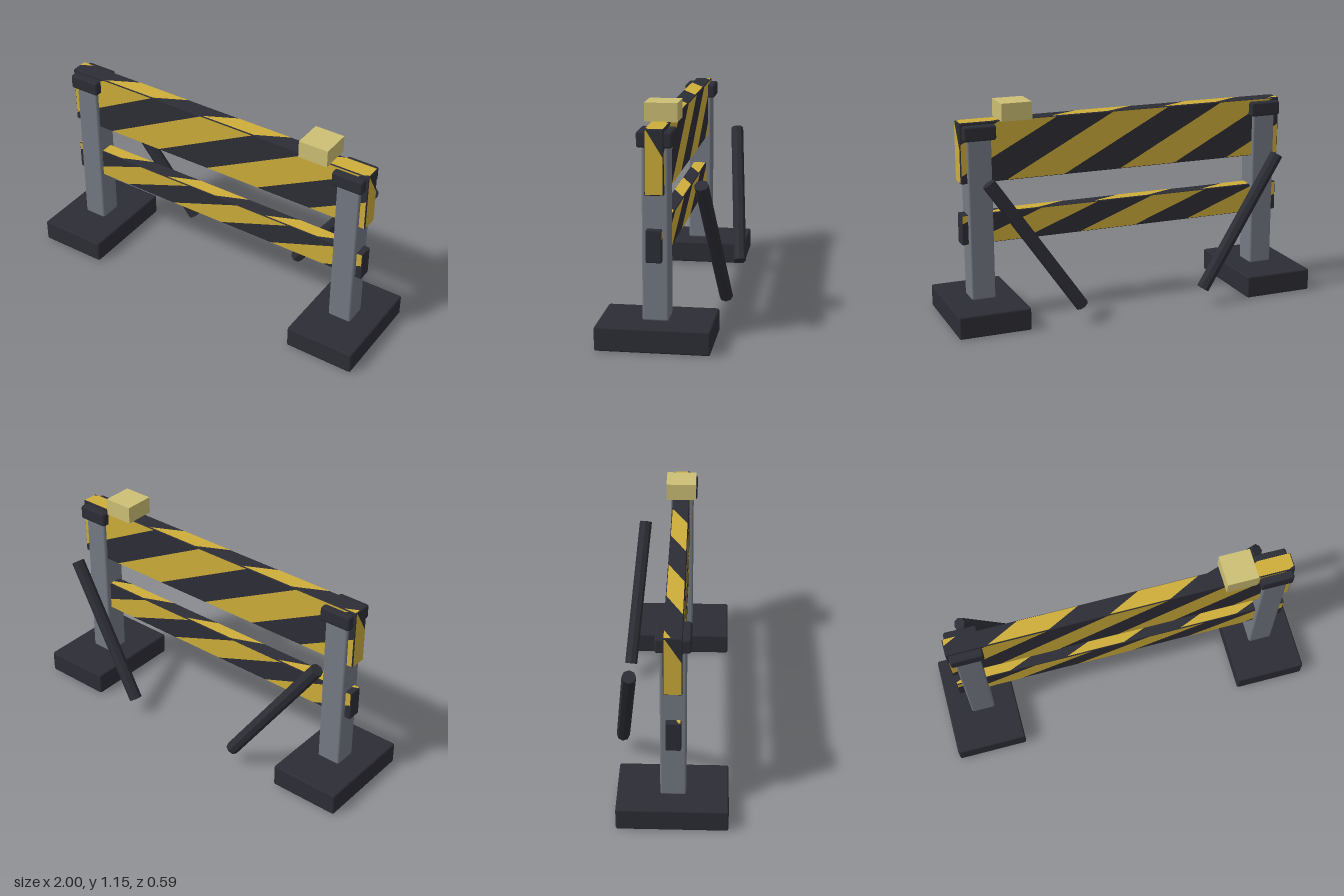
import * as THREE from 'three';
import { RoundedBoxGeometry } from 'three/addons/geometries/RoundedBoxGeometry.js';

const material = (name, color, side = THREE.FrontSide) => {
  const m = new THREE.MeshStandardMaterial({ color, side });
  m.name = name;
  return m;
};

// Keep the part of a polygon where sign * (x - limit) >= 0
function clipX(points, limit, sign) {
  const out = [];
  points.forEach((a, i) => {
    const b = points[(i + 1) % points.length];
    const da = sign * (a.x - limit), db = sign * (b.x - limit);
    if (da >= 0) out.push(a);
    if (da * db < 0) out.push(a.clone().lerp(b, da / (da - db)));
  });
  return out;
}

// Slanted stripes clipped to a w by h rectangle, facing +z
function stripeGeometry(w, h, start, shift) {
  const period = 0.625, band = 0.313, shapes = [];
  for (let i = -5; i <= 5; i++) {
    const x = start + i * period;
    let p = [[x, -h / 2], [x + band, -h / 2], [x + band + shift, h / 2], [x + shift, h / 2]]
      .map(([a, b]) => new THREE.Vector2(a, b));
    p = clipX(clipX(p, -w / 2, 1), w / 2, -1);
    if (p.length > 2) shapes.push(new THREE.Shape(p));
  }
  return new THREE.ShapeGeometry(shapes);
}

export function createModel() {
  const model = new THREE.Group();
  const dark = material('charcoal', 0x2d2d36);
  const yellow = material('safety yellow', 0xcdad3a);
  const steel = material('grey steel', 0x747a84);
  const lens = material('pale lamp', 0xcdbf74);

  const add = (parent, name, geometry, mat, x = 0, y = 0, z = 0) => {
    const mesh = new THREE.Mesh(geometry, mat);
    mesh.name = name;
    mesh.position.set(x, y, z);
    parent.add(mesh);
    return mesh;
  };
  const block = (w, h, d, bevel) => new RoundedBoxGeometry(w, h, d, 1, bevel);

  // Striped boards: a dark plank with yellow faces laid on its long sides
  function board(name, w, h, d, y, z, front, edge) {
    const group = new THREE.Group();
    group.name = name;
    group.position.set(0, y, z);
    model.add(group);
    add(group, 'plank', block(w, h, d, 0.006), dark);
    const fw = w - 0.01, lift = 0.001;
    const face = stripeGeometry(fw, h - 0.008, ...front);
    const rim = stripeGeometry(fw, d - 0.008, ...edge);
    add(group, 'frontStripes', face, yellow, 0, 0, d / 2 + lift);
    add(group, 'backStripes', face, yellow, 0, 0, -d / 2 - lift).rotation.y = Math.PI;
    add(group, 'topStripes', rim, yellow, 0, h / 2 + lift, 0).rotation.x = -Math.PI / 2;
    add(group, 'bottomStripes', rim, yellow, 0, -h / 2 - lift, 0).rotation.x = Math.PI / 2;
    return group;
  }
  const upper = board('upperBoard', 1.81, 0.315, 0.092, 0.8975, 0.019, [-0.66, 0.585], [-0.69, 0.17]);
  board('lowerBoard', 1.81, 0.16, 0.076, 0.495, 0.022, [-0.26, 0.41], [-0.3, 0.17]);

  // Yellow end faces of the upper board, cut by one diagonal
  const endShape = new THREE.Shape([
    [-0.042, -0.152], [0.042, -0.152], [0.042, 0.025], [-0.036, 0.152], [-0.042, 0.152],
  ].map(([x, y]) => new THREE.Vector2(x, y)));
  for (const side of [1, -1]) {
    add(upper, 'endFace', new THREE.ShapeGeometry(endShape), yellow, side * 0.906, 0, 0)
      .rotation.y = side * Math.PI / 2;
  }

  // Feet, posts, caps and rear braces, mirrored left and right
  for (const side of [1, -1]) {
    const stand = new THREE.Group();
    stand.name = side > 0 ? 'leftStand' : 'rightStand';
    model.add(stand);
    const x = side * 0.807;
    add(stand, 'foot', block(0.38, 0.12, 0.556, 0.01), dark, side * 0.81, 0.06, 0.018);
    add(stand, 'post', block(0.128, 0.88, 0.128, 0.01), steel, x, 0.56, 0.02);
    add(stand, 'cap', block(0.172, 0.078, 0.172, 0.012), dark, x, 1.002, 0.02);

    const top = new THREE.Vector3(side * 0.809, 0.776, -0.192);
    const low = new THREE.Vector3(side * 0.345, 0.096, -0.262);
    const axis = top.clone().sub(low);
    const rod = new THREE.CylinderGeometry(0.035, 0.035, axis.length(), 8).toNonIndexed();
    rod.computeVertexNormals();
    const brace = add(stand, 'brace', rod, dark);
    brace.position.copy(top).add(low).multiplyScalar(0.5);
    brace.quaternion.setFromUnitVectors(new THREE.Vector3(0, 1, 0), axis.normalize());
  }

  // Warning lamp on the upper board
  add(model, 'lamp', new THREE.BoxGeometry(0.162, 0.092, 0.162), lens, 0.612, 1.1, 0.019);

  return model;
}
